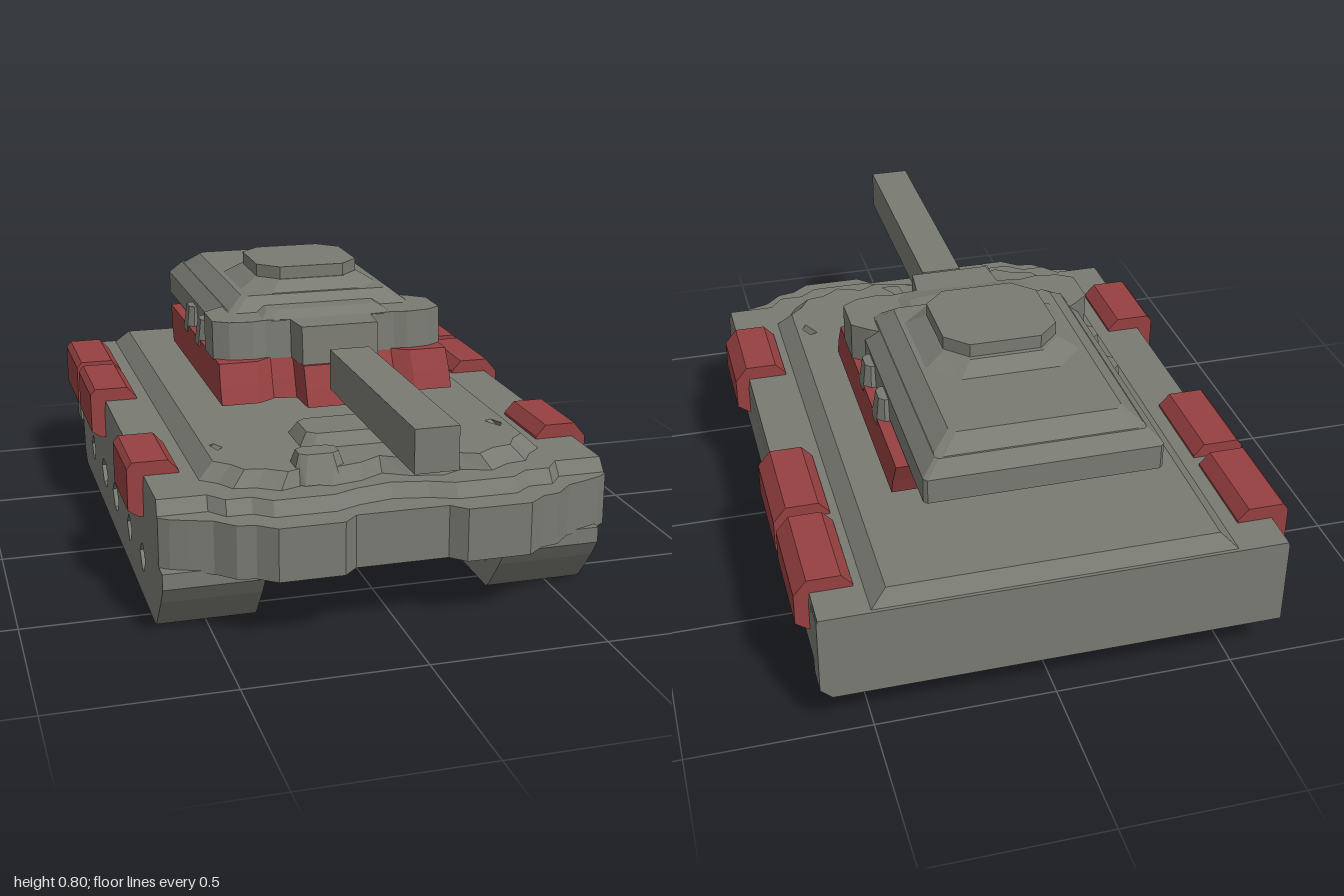
import * as THREE from 'three';

const grey = new THREE.MeshStandardMaterial({ color: 0x797a72 });
grey.name = 'armour grey';
const red = new THREE.MeshStandardMaterial({ color: 0x964040 });
red.name = 'dull red';

const toPoints = (pts) => pts.map(([a, b]) => new THREE.Vector2(a, b));
const extrude = (pts, depth, holes = []) => {
  const shape = new THREE.Shape(toPoints(pts));
  holes.forEach((h) => shape.holes.push(new THREE.Path(toPoints(h))));
  return new THREE.ExtrudeGeometry(shape, { depth, bevelEnabled: false });
};
const rect = (a0, a1, b0, b1) => [[a0, b0], [a1, b0], [a1, b1], [a0, b1]];
// rectangle with cut corners
const cutRect = (x0, x1, z0, z1, c) => [
  [x0 + c, z0], [x1 - c, z0], [x1, z0 + c], [x1, z1 - c],
  [x1 - c, z1], [x0 + c, z1], [x0, z1 - c], [x0, z0 + c]];
// full outline from its +x half
const mirror = (half) => [...half, ...half.filter(([x]) => x > 0).reverse().map(([x, z]) => [-x, z])];
const shift = (pts, dx, dz) => pts.map(([x, z]) => [x + dx, z + dz]);
// (z, y) profile extruded across x
const across = (profile, x0, x1, holes) =>
  extrude(profile, x1 - x0, holes).rotateY(-Math.PI / 2).translate(x1, 0, 0);

export function createModel() {
  const model = new THREE.Group();
  const group = (name) => {
    const g = new THREE.Group();
    g.name = name;
    model.add(g);
    return g;
  };
  const add = (parent, name, geometry, material = grey) => {
    const mesh = new THREE.Mesh(geometry, material);
    mesh.name = name;
    parent.add(mesh);
  };
  // horizontal slab from an (x, z) outline; its top can shrink and shift
  const slab = (outline, y0, y1, { sx = 1, sz = 1, dz = 0, holes = [] } = {}) => {
    const g = extrude(outline, y1 - y0, holes);
    g.rotateX(Math.PI / 2).translate(0, y1, 0);
    g.computeBoundingBox();
    const c = g.boundingBox.getCenter(new THREE.Vector3());
    const p = g.attributes.position;
    for (let i = 0; i < p.count; i++) {
      if (p.getY(i) < (y0 + y1) / 2) continue;
      p.setX(i, c.x + (p.getX(i) - c.x) * sx);
      p.setZ(i, c.z + (p.getZ(i) - c.z) * sz + dz);
    }
    g.computeVertexNormals();
    return g;
  };

  // ---- hull: hollow and open underneath, in three layers
  const hull = group('hull');
  const holes = [
    [[0.07, 0.48], [0.08, 0.6], [0.14, 0.61], [0.11, 0.56]],
    [[0.43, 0.36], [0.455, 0.35], [0.475, 0.39], [0.46, 0.42]],
    [[-0.475, 0.36], [-0.46, 0.35], [-0.44, 0.39], [-0.46, 0.41]]];
  const bow = mirror([[0, 0.77], [0.13, 0.77], [0.17, 0.81], [0.35, 0.81], [0.4, 0.77], [0.45, 0.76],
    [0.5, 0.71], [0.56, 0.69], [0.61, 0.67], [0.637, 0.65], [0.637, -1]]);
  add(hull, 'hullSides', slab(bow, 0.19, 0.34, { holes: [rect(-0.6, 0.6, -0.95, 0.62)] }));
  const deck = mirror([[0, 0.68], [0.1, 0.7], [0.17, 0.73], [0.34, 0.73], [0.39, 0.69], [0.46, 0.69],
    [0.5, 0.64], [0.637, 0.64], [0.637, -1]]);
  add(hull, 'deck', slab(deck, 0.34, 0.378, { sx: 0.995, sz: 0.985, dz: -0.013, holes }));
  const upperDeck = mirror([[0, 0.58], [0.07, 0.62], [0.16, 0.64], [0.22, 0.61], [0.3, 0.64], [0.36, 0.6],
    [0.42, 0.59], [0.45, 0.54], [0.495, 0.5], [0.495, -0.99]]);
  add(hull, 'upperDeck', slab(upperDeck, 0.378, 0.42, { sx: 0.91, sz: 0.965, holes }));
  add(hull, 'hatch', slab(cutRect(-0.19, 0.135, 0.26, 0.45, 0.03), 0.42, 0.456, { sx: 0.86, sz: 0.75 }));
  add(hull, 'frontBump', slab(cutRect(-0.26, -0.1, 0.49, 0.63, 0.03), 0.38, 0.456, { sx: 0.7, sz: 0.5 }));
  add(hull, 'rearPlate', extrude([[-0.637, 0.12], [0.605, 0.12], [0.637, 0.15], [0.637, 0.37], [-0.637, 0.37]], 0.08)
    .translate(0, 0, -1));
  // uneven lower edge of the left skirt
  for (const z of [0.5, 0.265, 0.03, -0.23, -0.47, -0.72]) {
    add(hull, 'skirtTab', across([[z - 0.03, 0.165], [z + 0.03, 0.165], [z + 0.06, 0.195], [z - 0.06, 0.195]], 0.598, 0.635));
  }

  // ---- hollow tracks: belt, pierced outer wall, open inner frame
  const side = [[-0.87, 0.2], [-0.85, 0.12], [-0.835, 0.03], [-0.795, 0], [0.57, 0], [0.59, 0.015],
    [0.665, 0.105], [0.7, 0.155], [0.7, 0.2]];
  const belt = [...side, [0.66, 0.2], [0.63, 0.12], [0.555, 0.035], [-0.77, 0.035], [-0.8, 0.06],
    [-0.8, 0.12], [-0.83, 0.2]];
  const openings = [[0.38, 0.045], [0.15, 0.04], [-0.115, 0.058], [-0.345, 0.062], [-0.6, 0.036]].map(([z, w]) => {
    const f = Math.max(0.008, w - 0.035);
    return [[z - w, 0.125], [z - f, 0.08], [z + f, 0.08], [z + w, 0.125], [z + f, 0.16], [z - f, 0.16]];
  });
  const bays = [[-0.78, -0.49], [-0.45, -0.25], [-0.21, 0], [0.04, 0.245], [0.285, 0.56]]
    .map(([a, b]) => rect(a, b, 0.07, 0.17));
  for (const [name, x0, x1, s] of [['rightTrack', -0.637, -0.36, -1], ['leftTrack', 0.32, 0.6, 1]]) {
    const track = group(name);
    const [outer, inner] = s > 0 ? [x1, x0] : [x0, x1];
    const wall = (x, dir, cuts) => across(side, Math.min(x, x + dir * 0.035), Math.max(x, x + dir * 0.035), cuts);
    add(track, 'belt', across(belt, x0 + 0.03, x1 - 0.03));
    add(track, 'outerWall', wall(outer, -s, openings));
    add(track, 'innerFrame', wall(inner, s, bays));
  }

  // ---- red storage blocks wrapped over both hull edges
  const leftBlock = [[0.61, 0.26], [0.64, 0.26], [0.675, 0.285], [0.675, 0.375], [0.64, 0.418], [0.55, 0.418],
    [0.52, 0.385], [0.52, 0.36], [0.61, 0.36]];
  const rightBlock = [[-0.61, 0.26], [-0.61, 0.36], [-0.535, 0.36], [-0.535, 0.385], [-0.565, 0.418], [-0.665, 0.418],
    [-0.68, 0.4], [-0.68, 0.28], [-0.65, 0.26]];
  for (const [z0, z1] of [[0.18, 0.425], [-0.565, -0.285], [-0.885, -0.605]]) {
    for (const [name, section] of [['leftSideBlock', leftBlock], ['rightSideBlock', rightBlock]]) {
      add(model, name, extrude(section, z1 - z0).translate(0, 0, z0), red);
    }
  }

  // ---- turret
  const turret = group('turret');
  const base = shift(mirror([[0, 0.22], [0.118, 0.22], [0.123, 0.11], [0.19, 0.1], [0.24, 0.135], [0.355, 0.135],
    [0.355, -0.63]]), 0.006, 0);
  add(turret, 'turretBase', slab(base, 0.465, 0.515, { dz: -0.02 }), red);
  add(turret, 'turretBaseTop', slab(shift(base, 0, -0.02), 0.515, 0.578, { sx: 0.99, dz: -0.03 }), red);
  const body = shift(mirror([[0, 0.16], [0.115, 0.16], [0.125, 0.06], [0.2, 0.05], [0.24, 0.06], [0.31, 0.05],
    [0.354, 0.02], [0.354, -0.1], [0.31, -0.14], [0.28, -0.16], [0.28, -0.68]]), 0.005, 0);
  add(turret, 'turretBody', slab(body, 0.575, 0.69, { sz: 0.97 }));
  add(turret, 'turretBustle', slab(cutRect(-0.318, 0.325, -0.86, -0.12, 0.01), 0.582, 0.652));
  add(turret, 'turretShoulder', slab(cutRect(-0.318, 0.325, -0.86, -0.06, 0.01), 0.652, 0.692, { sx: 0.88, sz: 0.92 }));
  add(turret, 'turretRoof', slab(cutRect(-0.28, 0.287, -0.825, -0.06, 0.02), 0.69, 0.73, { sx: 0.82, sz: 0.87 }));
  add(turret, 'turretNose', slab(cutRect(-0.2, 0.2, -0.14, 0.05, 0.03), 0.688, 0.705, { sx: 0.85, sz: 0.6, dz: -0.03 }));
  // small side lumps
  for (const x of [-0.315, 0.325]) {
    for (const z of [-0.23, -0.41]) {
      add(turret, 'sideLump', slab(cutRect(x - 0.035, x + 0.035, z - 0.05, z + 0.05, 0.02), 0.56, 0.64, { sx: 0.7, sz: 0.7 }));
    }
  }
  // cupola on a sloping collar
  add(turret, 'cupolaCollar', slab(cutRect(-0.215, 0.225, -0.54, -0.12, 0.08), 0.728, 0.762, { sx: 0.74, sz: 0.78 }));
  add(turret, 'cupola', slab(cutRect(-0.155, 0.165, -0.48, -0.17, 0.06), 0.755, 0.8));
  // gun barrel
  add(turret, 'barrel', across(rect(0.24, 1, 0.525, 0.643), -0.052, 0.066));

  return model;
}
